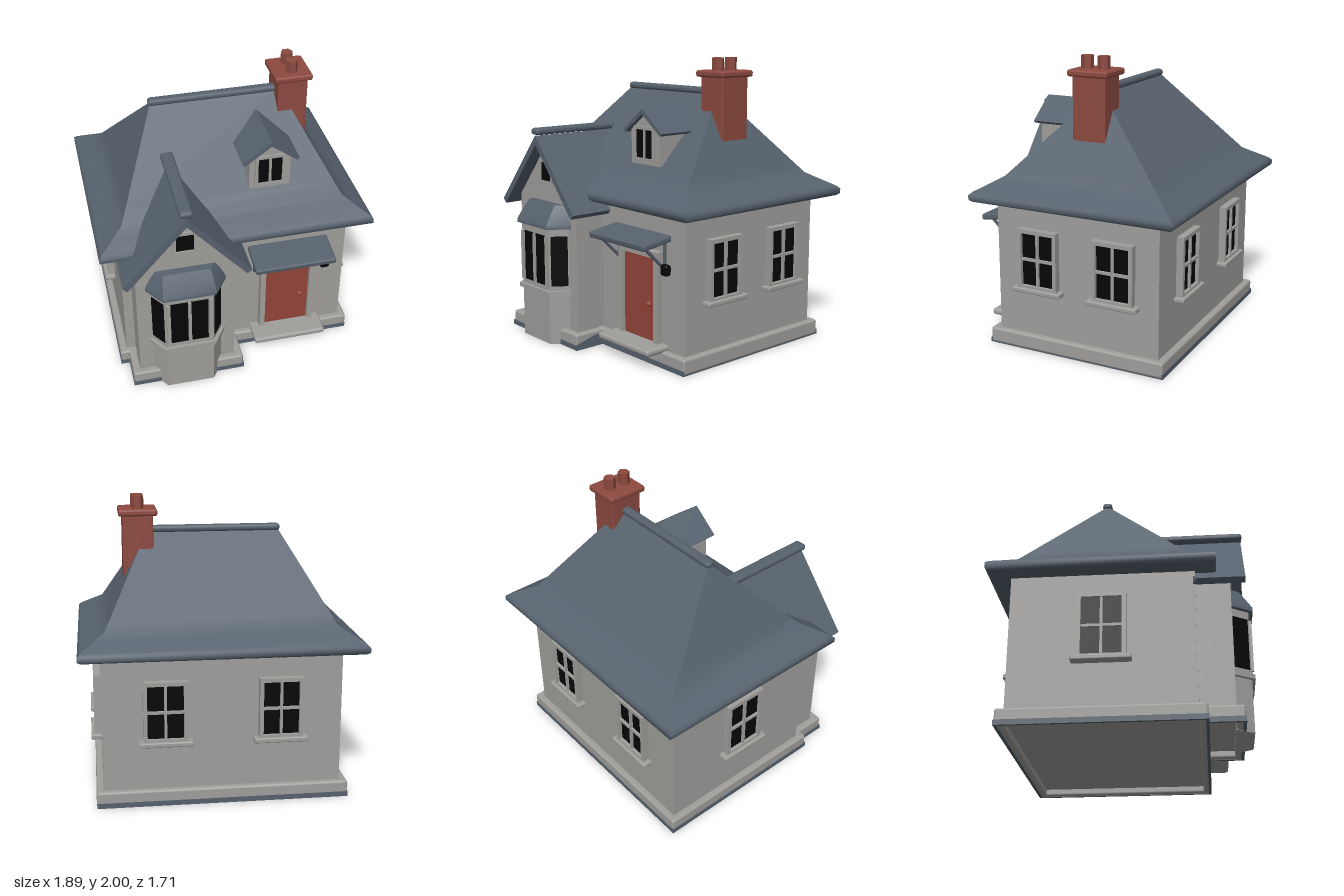
import * as THREE from 'three';
import { RoundedBoxGeometry } from 'three/addons/geometries/RoundedBoxGeometry.js';
import { mergeGeometries } from 'three/addons/utils/BufferGeometryUtils.js';

const material = (name, color) => Object.assign(new THREE.MeshStandardMaterial({ color }), { name });

export function createModel() {
  const wall = material('wall grey', 0xa09f9c);
  const slate = material('slate blue', 0x57626e);
  const brick = material('brick red', 0x8d4a40);
  const doorRed = material('door red', 0x934539);
  const black = material('black', 0x060606);
  const house = new THREE.Group();
  house.name = 'cottage';

  const add = (name, geometry, mat, parent = house) => {
    const mesh = new THREE.Mesh(geometry, mat);
    mesh.name = name;
    parent.add(mesh);
    return mesh;
  };
  // Box between two corners, with an optional rounded edge
  const box = (name, mat, x0, x1, y0, y1, z0, z1, r = 0, parent = house) => {
    const s = [x1 - x0, y1 - y0, z1 - z0];
    const mesh = add(name, r ? new RoundedBoxGeometry(...s, 2, r) : new THREE.BoxGeometry(...s), mat, parent);
    mesh.position.set((x0 + x1) / 2, (y0 + y1) / 2, (z0 + z1) / 2);
    return mesh;
  };
  const surface = (points, index) => {
    const g = new THREE.BufferGeometry();
    g.setAttribute('position', new THREE.Float32BufferAttribute(points.flat(), 3));
    g.setIndex(index);
    g.computeVertexNormals();
    return g;
  };
  // Four-sided skin over rings of [x, y, z] points: each side is smooth upwards, corners stay sharp
  const loft = (rings) => {
    const parts = [0, 1, 2, 3].map((i) => {
      const index = [];
      for (let k = 0; k + 1 < rings.length; k++) {
        const a = 2 * k;
        index.push(a, a + 1, a + 3, a, a + 3, a + 2);
      }
      return surface(rings.flatMap((r) => [r[i], r[(i + 1) % 4]]), index);
    });
    parts.push(surface(rings[0], [0, 2, 1, 0, 3, 2]), surface(rings[rings.length - 1], [0, 1, 2, 0, 2, 3]));
    return mergeGeometries(parts);
  };
  // Symmetric ring: front half width, back half width, height, front z, back z
  const ring = (hf, hb, y, zf, zb) => [[hf, y, zf], [hb, y, zb], [-hb, y, zb], [-hf, y, zf]];
  const extrude = (points, z0, z1) => {
    const shape = new THREE.Shape(points.map(([x, y]) => new THREE.Vector2(x, y)));
    return new THREE.ExtrudeGeometry(shape, { depth: z1 - z0, bevelEnabled: false }).translate(0, 0, z0);
  };
  // Open rectangle of four bars lying around the foot of the walls
  const footing = (name, mat, x0, x1, y0, y1, z0, z1, t, r) => {
    const g = new THREE.Group();
    g.name = name;
    house.add(g);
    box('frontBar', mat, x0, x1, y0, y1, z1 - t, z1, r, g);
    box('backBar', mat, x0, x1, y0, y1, z0, z0 + t, r, g);
    box('leftBar', mat, x1 - t, x1, y0, y1, z0, z1, r, g);
    box('rightBar', mat, x0, x0 + t, y0, y1, z0, z1, r, g);
  };
  // Pitched roof boards whose back end runs into the main roof
  const pitchedRoof = (name, cx, w, apex, eave, t, zf, zApex, zEave) => {
    const d = t * 0.6;
    const g = extrude([[0, apex], [-w, eave + d], [-w + d, eave], [0, apex - t * 1.3],
      [w - d, eave], [w, eave + d]], 0, zf);
    const p = g.attributes.position;
    for (let i = 0; i < p.count; i++) {
      if (p.getZ(i) < 0.001) p.setZ(i, THREE.MathUtils.lerp(zApex, zEave, Math.abs(p.getX(i)) / w));
    }
    g.computeVertexNormals();
    add(name, g, slate).position.x = cx;
  };
  // Frame of four bars with glass and optional glazing bars, facing +z
  const windowUnit = (name, w, h, depth, border, bars, sill) => {
    const g = new THREE.Group();
    g.name = name;
    const x = w / 2, y = h / 2, b = border, pane = depth * 0.5;
    for (const s of [-1, 1]) {
      box('windowJamb', wall, s * (x - b / 2) - b / 2, s * (x - b / 2) + b / 2, -y, y, 0, depth, 0, g);
      box('windowRail', wall, -x + b, x - b, s * (y - b / 2) - b / 2, s * (y - b / 2) + b / 2, 0, depth, 0, g);
    }
    box('glass', black, -x + b, x - b, -y + b, y - b, pane - 0.004, pane, 0, g);
    const t = 0.009;
    if (bars > 0) box('uprightBar', wall, -t, t, -y + b, y - b, pane - 0.002, depth * 0.85, 0, g);
    if (bars > 1) box('crossBar', wall, -x + b, x - b, -t, t, pane - 0.002, depth * 0.85, 0, g);
    if (sill) box('windowSill', wall, -x - 0.035, x + 0.035, -y - 0.02, -y + 0.012, 0, depth + 0.023, 0.008, g);
    house.add(g);
    return g;
  };

  // Main walls on a hollow stepped footing
  const floorY = 0.05;
  box('mainWalls', wall, -0.8, 0.8, floorY, 1.06, -0.71, 0.49);
  footing('mainPlinth', wall, -0.85, 0.85, 0.004, 0.11, -0.76, 0.545, 0.056, 0.016);
  footing('mainBaseCourse', slate, -0.853, 0.847, 0, 0.035, -0.763, 0.548, 0.02, 0);

  // Flared hip roof with rounded eaves and a ridge cap
  const roofRing = (inset, y) => ring(0.945 - inset, 0.945 - inset, y, 0.625 - inset, -0.858 + inset);
  const ridge = ring(0.45, 0.45, 1.765, -0.118, -0.12);
  const flareTop = roofRing(0.18, 1.19);
  const lowerSlope = flareTop.map((p, i) => p.map((v, k) => THREE.MathUtils.lerp(v, ridge[i][k], 0.12)));
  add('mainRoof', loft([roofRing(0.02, 1.027), roofRing(0, 1.042), roofRing(0, 1.075),
    roofRing(0.02, 1.095), roofRing(0.1, 1.142), flareTop, lowerSlope, ridge]), slate);
  box('ridgeCap', slate, -0.47, 0.45, 1.742, 1.79, -0.153, -0.087, 0.022);

  // Front wing with gable
  const wx = -0.395;
  add('wingWalls', extrude([[-0.34, floorY], [0.34, floorY], [0.34, 1.005], [0, 1.4], [-0.34, 1.005]],
    0.45, 0.715), wall).position.x = wx;
  footing('wingPlinth', wall, wx - 0.395, wx + 0.395, 0.004, 0.11, 0.49, 0.77, 0.058, 0.016);
  footing('wingBaseCourse', slate, wx - 0.398, wx + 0.398, 0, 0.035, 0.528, 0.773, 0.02, 0);
  // Sloping slate facing on the inner side of the wing plinth
  const facing = extrude([[-0.773, 0], [-0.54, 0], [-0.54, 0.085], [-0.62, 0.08], [-0.773, 0.04]], 0, 0.004);
  add('plinthFacing', facing.rotateY(Math.PI / 2), slate).position.x = wx + 0.395;
  pitchedRoof('wingRoof', wx, 0.432, 1.46, 0.93, 0.05, 0.81, 0.1, 0.5);
  box('wingRidgeCap', slate, wx - 0.045, wx + 0.045, 1.465, 1.512, 0.12, 0.818, 0.021);
  windowUnit('gableWindow', 0.164, 0.175, 0.02, 0.022, 0, false).position.set(wx, 1.2, 0.712);

  // Bay window
  const bay = new THREE.Group();
  bay.name = 'bayWindow';
  bay.position.x = wx;
  house.add(bay);
  add('bayWalls', loft([ring(0.165, 0.245, 0, 0.828, 0.71), ring(0.165, 0.245, 0.84, 0.828, 0.71)]), wall, bay);
  add('baySill', loft([ring(0.18, 0.272, 0.355, 0.85, 0.71), ring(0.18, 0.272, 0.386, 0.85, 0.71)]), wall, bay);
  add('bayRoof', loft([ring(0.18, 0.278, 0.83, 0.856, 0.71), ring(0.18, 0.278, 0.858, 0.856, 0.71),
    ring(0.168, 0.235, 0.945, 0.8, 0.71), ring(0.16, 0.205, 0.987, 0.77, 0.71)]), slate, bay);
  for (const x of [-0.147, 0, 0.147]) box('bayPost', wall, x - 0.011, x + 0.011, 0.42, 0.775, 0.82, 0.845, 0, bay);
  for (const s of [-1, 1]) {
    box('bayFrontGlass', black, s * 0.07 - 0.059, s * 0.07 + 0.059, 0.42, 0.775, 0.826, 0.831, 0, bay);
    const pane = add('baySideGlass', new THREE.BoxGeometry(0.118, 0.355, 0.006), black, bay);
    pane.position.set(s * 0.205, 0.5975, 0.769);
    pane.rotation.y = s * Math.atan2(0.118, 0.08);
  }

  // Door, surround and step
  box('door', doorRed, 0.215, 0.54, 0.14, 0.72, 0.488, 0.515);
  for (const x of [0.18, 0.54]) box('doorJamb', wall, x, x + 0.038, 0.12, 0.765, 0.485, 0.54);
  box('doorLintel', wall, 0.215, 0.545, 0.72, 0.765, 0.485, 0.54);
  box('doorStep', wall, 0.115, 0.64, 0.1, 0.145, 0.48, 0.675, 0.018);
  add('doorKnob', new THREE.SphereGeometry(0.02, 12, 8), doorRed).position.set(0.48, 0.396, 0.525);

  // Sloping porch canopy on brackets
  const canopy = add('porchCanopy', new RoundedBoxGeometry(0.57, 0.042, 0.245, 2, 0.012), slate);
  canopy.position.set(0.377, 0.85, 0.602);
  canopy.rotation.x = 0.145;
  for (const x of [0.143, 0.607]) {
    box('bracketPost', slate, x - 0.01, x + 0.01, 0.65, 0.84, 0.488, 0.505);
    const strut = add('bracketStrut', new THREE.BoxGeometry(0.018, 0.25, 0.016), slate);
    strut.position.set(x, 0.745, 0.59);
    strut.rotation.x = 0.8;
  }

  // Wall lamp
  box('lampArm', black, 0.64, 0.66, 0.65, 0.675, 0.485, 0.52);
  box('lamp', black, 0.618, 0.682, 0.625, 0.7, 0.505, 0.55, 0.015);

  // Side and back windows: x, z, turn, size
  const places = [[0.798, 0.165, 0.5, 1], [0.798, -0.395, 0.5, 1], [-0.798, -0.11, -0.5, 1.07],
    [0.385, -0.708, 1, 1], [-0.385, -0.708, 1, 1]];
  for (const [x, z, turn, size] of places) {
    const w = windowUnit('wallWindow', 0.295 * size, 0.42 * size, 0.052, 0.027, 2, true);
    w.position.set(x, 0.65, z);
    w.rotation.y = turn * Math.PI;
  }

  // Dormer
  const dx = 0.265;
  add('dormerWalls', extrude([[-0.143, 1.29], [0.143, 1.29], [0.143, 1.52], [0, 1.63], [-0.143, 1.52]],
    0.05, 0.37), wall).position.x = dx;
  pitchedRoof('dormerRoof', dx, 0.197, 1.667, 1.498, 0.027, 0.4, -0.06, 0.08);
  windowUnit('dormerWindow', 0.21, 0.235, 0.018, 0.022, 1, false).position.set(dx, 1.43, 0.367);

  // Chimney with hexagonal pots
  box('chimneyStack', brick, 0.415, 0.623, 1.425, 1.88, -0.235, 0.003, 0.008);
  box('chimneyCap', brick, 0.387, 0.65, 1.87, 1.915, -0.262, 0.03, 0.015);
  for (const z of [-0.055, -0.175]) {
    const pot = add('chimneyPot', new THREE.CylinderGeometry(0.042, 0.042, 0.09, 6).toNonIndexed(), brick);
    pot.geometry.computeVertexNormals();
    pot.geometry.rotateY(Math.PI / 6);
    pot.position.set(0.518, 1.955, z);
  }
  return house;
}
